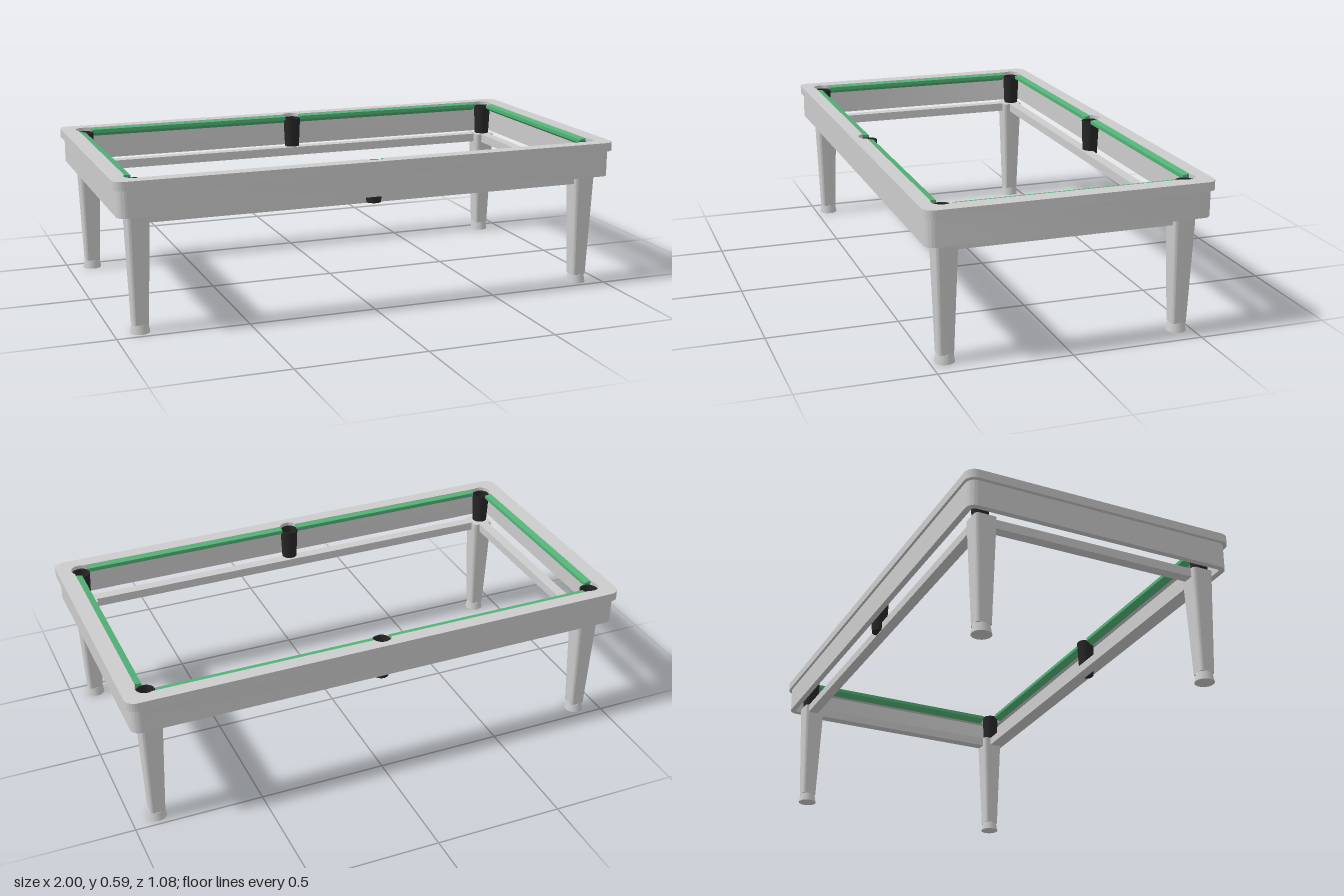
import * as THREE from 'three';
import { toCreasedNormals } from 'three/addons/utils/BufferGeometryUtils.js';

const wood = new THREE.MeshStandardMaterial({ color: 0xcccccc });
const felt = new THREE.MeshStandardMaterial({ color: 0x52b276 });
const dark = new THREE.MeshStandardMaterial({ color: 0x262626, side: THREE.DoubleSide });

const CORNER = { x: 0.908, z: 0.453 };
const SIDE_Z = 0.474;
const POCKET_R = 0.037;

function add(parent, name, geometry, material, x = 0, y = 0, z = 0) {
  const mesh = new THREE.Mesh(geometry, material);
  mesh.name = name;
  mesh.position.set(x, y, z);
  parent.add(mesh);
  return mesh;
}

// Rounded rectangle with half sizes a and b
function roundedRect(path, a, b, r) {
  path.absarc(a - r, b - r, r, 0, Math.PI / 2);
  path.absarc(-a + r, b - r, r, Math.PI / 2, Math.PI);
  path.absarc(-a + r, -b + r, r, Math.PI, Math.PI * 1.5);
  path.absarc(a - r, -b + r, r, Math.PI * 1.5, Math.PI * 2);
  path.closePath();
  return path;
}

// Extrude a plan outline between two heights
function slab(shape, y0, y1) {
  const g = new THREE.ExtrudeGeometry(shape, { depth: y1 - y0, bevelEnabled: false, curveSegments: 10 });
  g.rotateX(Math.PI / 2).translate(0, y1, 0);
  return toCreasedNormals(g, 0.6);
}

// Inner outline of the top frame, cut out around the six pockets
function frameOpening() {
  const p = new THREE.Path(), PI = Math.PI, { x, z } = CORNER, r = POCKET_R;
  p.absarc(x, z, r, -0.67, 2.05);
  p.absarc(0, SIDE_Z, r, 0.33, PI - 0.33);
  p.absarc(-x, z, r, PI - 2.05, PI + 0.67);
  p.absarc(-x, -z, r, PI - 0.67, PI + 2.05);
  p.absarc(0, -SIDE_Z, r, PI + 0.33, 2 * PI - 0.33);
  p.absarc(x, -z, r, -2.05, 0.67);
  p.closePath();
  return p;
}

// Wedge cushion: profile runs from the nose (x = 0) back to the frame
function cushionGeometry(length) {
  const s = new THREE.Shape([
    new THREE.Vector2(0.026, 0.55), new THREE.Vector2(0.026, 0.584),
    new THREE.Vector2(0, 0.58), new THREE.Vector2(0, 0.566),
  ]);
  return new THREE.ExtrudeGeometry(s, { depth: length, bevelEnabled: false }).translate(0, 0, -length / 2);
}

// Rounded square leg, narrowing towards the floor
function legGeometry() {
  const y0 = 0.034, y1 = 0.45;
  const g = slab(roundedRect(new THREE.Shape(), 0.043, 0.043, 0.014), y0, y1);
  const p = g.attributes.position;
  for (let i = 0; i < p.count; i++) {
    const k = THREE.MathUtils.lerp(0.67, 1, (p.getY(i) - y0) / (y1 - y0));
    p.setX(i, p.getX(i) * k);
    p.setZ(i, p.getZ(i) * k);
  }
  return toCreasedNormals(g, 0.6);
}

export function createModel() {
  const table = new THREE.Group();
  table.name = 'poolTable';

  // Top frame and apron
  const top = roundedRect(new THREE.Shape(), 1, 0.54, 0.04);
  top.holes.push(frameOpening());
  add(table, 'topFrame', slab(top, 0.552, 0.586), wood);

  const apron = roundedRect(new THREE.Shape(), 0.985, 0.53, 0.035);
  apron.holes.push(roundedRect(new THREE.Path(), 0.962, 0.507, 0.012));
  add(table, 'apron', slab(apron, 0.45, 0.552), wood);

  // Cushions: one on each end, two on each long side
  const endCushion = cushionGeometry(0.835);
  const sideCushion = cushionGeometry(0.84);
  for (const s of [1, -1]) {
    add(table, 'endCushion', endCushion, felt, s * 0.911, 0, 0).rotation.y = s > 0 ? 0 : Math.PI;
    for (const t of [1, -1]) {
      add(table, 'sideCushion', sideCushion, felt, t * 0.454, 0, s * 0.461).rotation.y = -s * Math.PI / 2;
    }
  }

  // Lower rails between the legs
  for (const s of [1, -1]) {
    add(table, 'longRail', new THREE.BoxGeometry(1.74, 0.035, 0.042), wood, 0, 0.4325, s * 0.453);
    add(table, 'shortRail', new THREE.BoxGeometry(0.042, 0.035, 0.83), wood, s * 0.905, 0.4325, 0);
  }

  // Pocket cups
  const cup = new THREE.LatheGeometry([
    [0, 0.418], [0.029, 0.418], [0.036, 0.572], [0.03, 0.572], [0.025, 0.424], [0, 0.424],
  ].map(([r, y]) => new THREE.Vector2(r, y)), 24);
  const pocket = toCreasedNormals(cup, 0.6);
  for (const s of [1, -1]) {
    add(table, 'sidePocket', pocket, dark, 0, 0, s * SIDE_Z);
    for (const t of [1, -1]) add(table, 'cornerPocket', pocket, dark, t * CORNER.x, 0, s * CORNER.z);
  }

  // Legs with round feet
  const leg = legGeometry();
  const foot = new THREE.CylinderGeometry(0.031, 0.037, 0.034, 24);
  for (const sx of [1, -1]) {
    for (const sz of [1, -1]) {
      add(table, 'leg', leg, wood, sx * 0.902, 0, sz * 0.445);
      add(table, 'foot', foot, wood, sx * 0.902, 0.017, sz * 0.445);
    }
  }
  return table;
}
